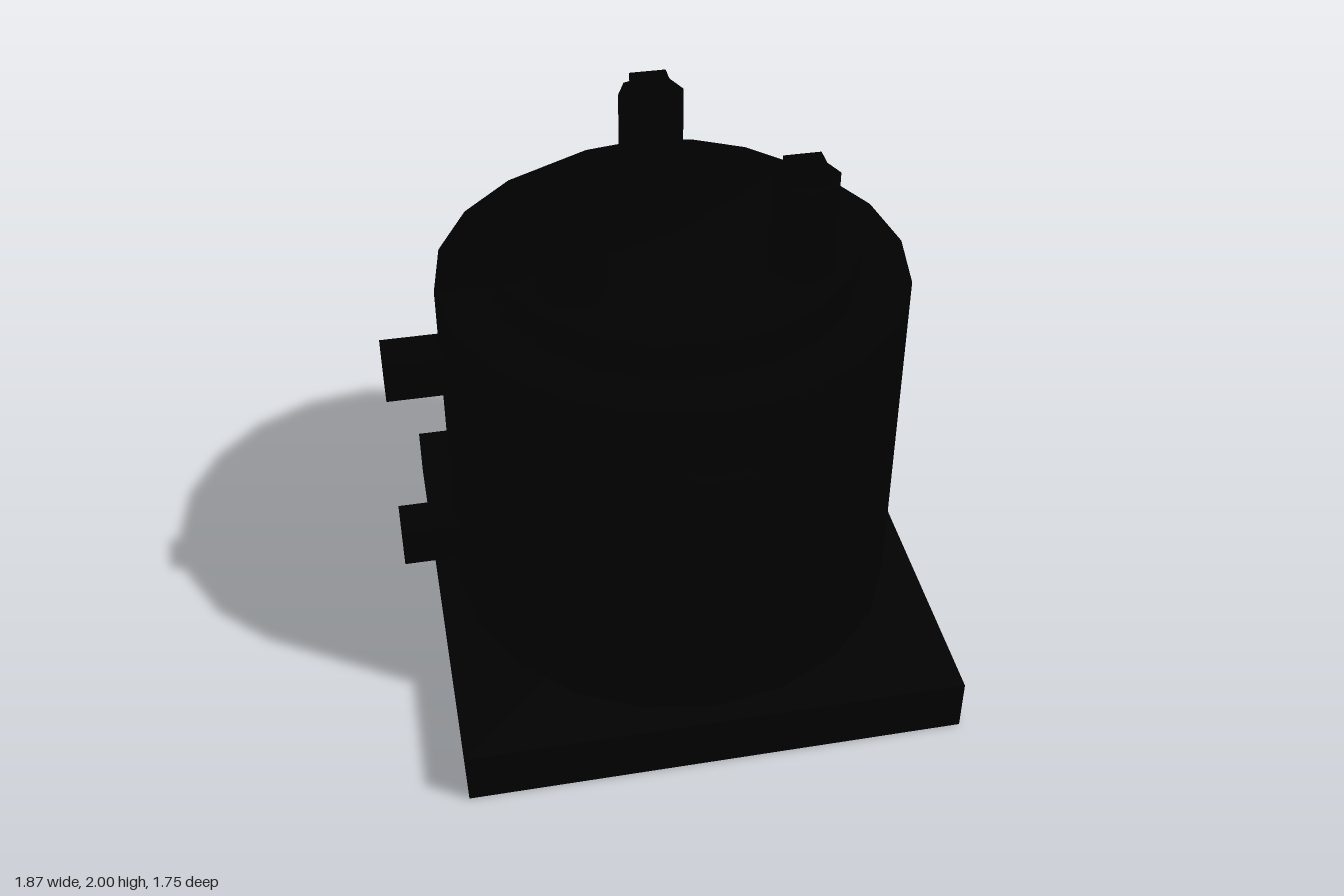
import * as THREE from 'three';

export function createModel() {
  const group = new THREE.Group();
  const black = new THREE.MeshStandardMaterial({ color: 0x000000 });
  black.name = 'black';
  black.flatShading = true;
  const cx = 0.06; // the tank axis, offset by the side pipes

  const add = (name, geometry, x, y, z) => {
    const mesh = new THREE.Mesh(geometry, black);
    mesh.name = name;
    mesh.position.set(x, y, z);
    group.add(mesh);
  };
  const box = (name, w, h, d, x, y, z) =>
    add(name, new THREE.BoxGeometry(w, h, d), x, y + h / 2, z);
  const drum = (name, r, h, sides, x, y, z) =>
    add(name, new THREE.CylinderGeometry(r, r, h, sides), x, y + h / 2, z);

  // Square plinth, round tank and lid
  box('base', 1.75, 0.2, 1.75, cx, 0, 0);
  drum('tank', 0.8, 1.3, 20, cx, 0.2, 0);
  drum('lid', 0.625, 0.125, 20, cx, 1.5, 0);

  // Three terminals with square caps
  for (const [x, z] of [[0, -0.375], [-0.375, 0.25], [0.375, 0.25]]) {
    drum('terminal', 0.1125, 0.33, 8, cx + x, 1.625, z);
    box('terminalCap', 0.125, 0.045, 0.125, cx + x, 1.955, z);
  }

  // Raised gauge strip on the front
  box('gauge', 0.19, 0.625, 0.05, cx, 0.625, 0.8);

  // Two pipe stubs on the side
  for (const y of [0.375, 1.125]) box('pipeStub', 0.25, 0.15, 0.15, -0.81, y, 0);

  return group;
}
